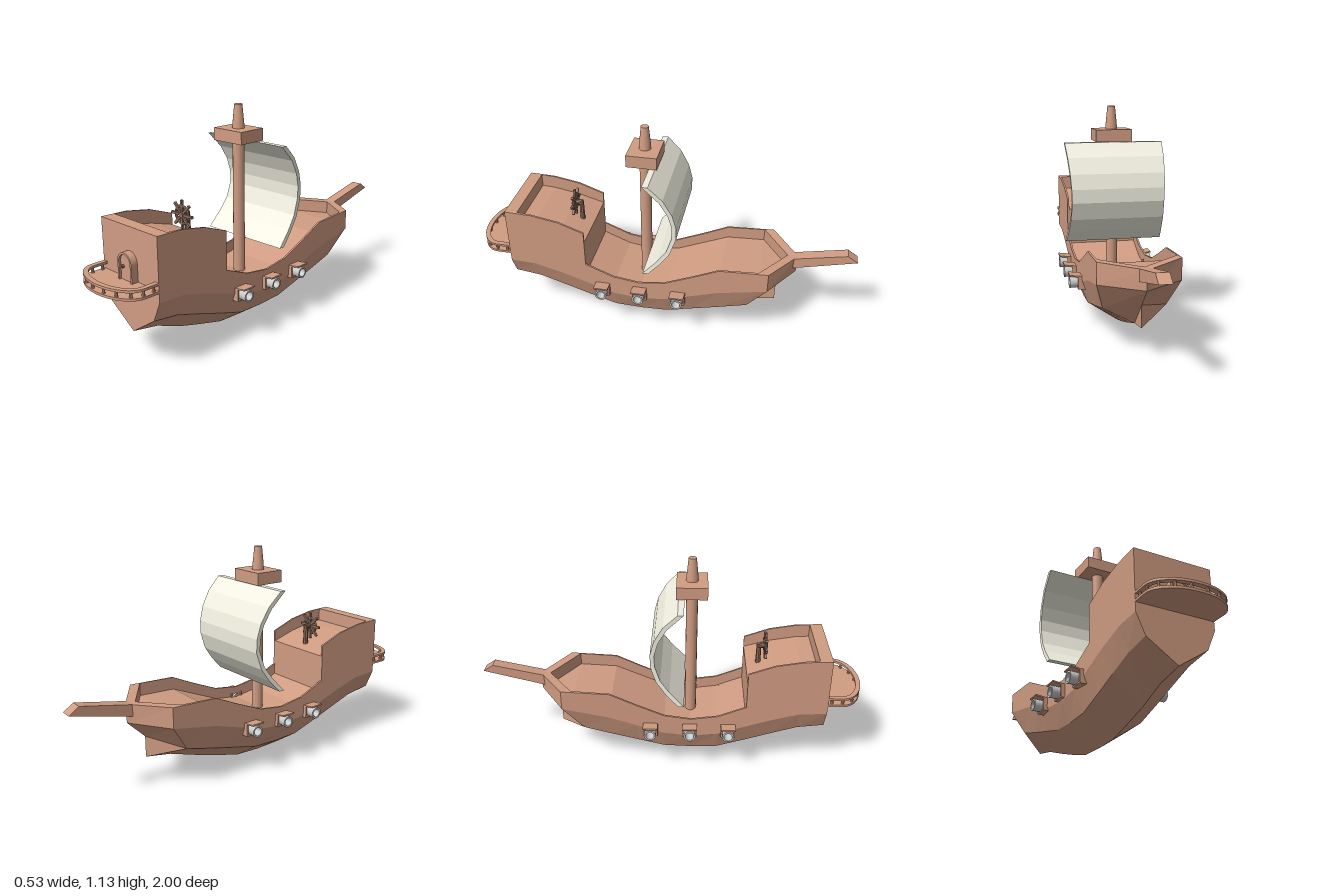
import * as THREE from 'three';

const material = (color, flatShading = true) => new THREE.MeshStandardMaterial({ color, flatShading });
const wood = material(0xd09c82);
const smoothWood = material(0xd09c82, false);
const darkWood = material(0x8f6e5c);
const cloth = material(0xf1efe0);
const metal = material(0xcccccc, false);

function add(parent, name, geometry, mat, x = 0, y = 0, z = 0) {
  const mesh = new THREE.Mesh(geometry, mat);
  mesh.name = name;
  mesh.position.set(x, y, z);
  parent.add(mesh);
  return mesh;
}

// Joins mirror-symmetric rings of points into a closed solid
function loft(rings) {
  const pos = [];
  const quad = (a, b, c, d) => pos.push(...a, ...b, ...c, ...a, ...c, ...d);
  const n = rings[0].length;
  for (let s = 0; s < rings.length - 1; s++) {
    for (let i = 0; i < n; i++) {
      const j = (i + 1) % n;
      quad(rings[s][i], rings[s + 1][i], rings[s + 1][j], rings[s][j]);
    }
  }
  const first = rings[0], last = rings[rings.length - 1];
  for (let k = 0; k < n / 2 - 1; k++) {
    quad(first[k], first[k + 1], first[n - 2 - k], first[n - 1 - k]);
    quad(last[n - 1 - k], last[n - 2 - k], last[k + 1], last[k]);
  }
  const geometry = new THREE.BufferGeometry();
  geometry.setAttribute('position', new THREE.Float32BufferAttribute(pos, 3));
  geometry.computeVertexNormals();
  return geometry;
}

const mirrored = (half) => [...half, ...half.map(([x, y, z]) => [-x, y, z]).reverse()];

function hullGeometry() {
  // z, keel, chine, knuckle, rail, deck heights from stern to bow
  const stations = [
    [0.81, 0.165, 0.268, 0.37, 0.68, 0.61],
    [0.67, 0.14, 0.25, 0.363, 0.675, 0.605],
    [0.53, 0.085, 0.205, 0.325, 0.65, 0.58],
    [0.395, 0.047, 0.16, 0.28, 0.6, 0.54],
    [0.395, 0.047, 0.16, 0.28, 0.4, 0.34],
    [0.25, 0.01, 0.115, 0.23, 0.34, 0.28],
    [0.11, 0.005, 0.11, 0.215, 0.32, 0.26],
    [-0.03, 0.01, 0.115, 0.23, 0.34, 0.28],
    [-0.17, 0.047, 0.15, 0.275, 0.4, 0.34],
    [-0.31, 0.09, 0.185, 0.32, 0.465, 0.4],
  ];
  const rings = stations.map(([z, keel, chine, knuckle, rail, deck], i) => {
    const inner = i === 0 ? 0.745 : z;
    return mirrored([[0, keel, z], [0.155, chine, z], [0.2, knuckle, z],
      [0.2, rail, z], [0.19, rail, inner], [0.19, deck, inner]]);
  });
  // Bow shoulder and stem
  rings.push(mirrored([[0, 0.14, -0.46], [0.155, 0.225, -0.46], [0.2, 0.37, -0.56],
    [0.2, 0.477, -0.56], [0.19, 0.477, -0.51], [0.19, 0.41, -0.51]]));
  rings.push(mirrored([[0, 0.165, -0.6], [0, 0.275, -0.6], [0, 0.37, -0.695],
    [0, 0.467, -0.7], [0, 0.467, -0.645], [0, 0.4, -0.645]]));
  return loft(rings);
}

function sailGeometry() {
  // half width, y, z down the billow
  const rows = [[0.258, 0.955, 0.04], [0.252, 0.885, -0.03], [0.246, 0.805, -0.075], [0.242, 0.73, -0.095],
    [0.24, 0.66, -0.095], [0.243, 0.57, -0.065], [0.248, 0.5, -0.015], [0.255, 0.435, 0.045]];
  return loft(rows.map(([w, y, z], i) => {
    const a = rows[Math.max(i - 1, 0)], b = rows[Math.min(i + 1, rows.length - 1)];
    const dy = a[1] - b[1], dz = a[2] - b[2], len = Math.hypot(dy, dz);
    const end = i === 0 || i === rows.length - 1;
    const iy = end ? y : y - (dz / len) * 0.022;
    const iz = z + (end ? 0.03 : (dy / len) * 0.022);
    return mirrored([[w, iy, iz], [w, y, z]]);
  }));
}

// Rounded outline of the stern balcony; shape y is distance behind the transom
function balconyOutline(inset) {
  const pts = [new THREE.Vector2(0.2 - inset, 0)];
  for (let i = 0; i <= 16; i++) {
    const a = (i / 16) * Math.PI;
    pts.push(new THREE.Vector2(Math.cos(a) * (0.2 - inset), 0.075 + Math.sin(a) * (0.115 - inset)));
  }
  pts.push(new THREE.Vector2(inset - 0.2, 0));
  return pts;
}

function balcony() {
  const g = new THREE.Group();
  g.name = 'sternBalcony';
  const floor = new THREE.ExtrudeGeometry(new THREE.Shape(balconyOutline(0)), { depth: 0.012, bevelEnabled: false });
  add(g, 'balconyFloor', floor.rotateX(Math.PI / 2), wood, 0, 0.427, 0.81);
  const band = new THREE.Shape([...balconyOutline(0), ...balconyOutline(0.025).reverse()]);
  const rail = new THREE.ExtrudeGeometry(band, { depth: 0.012, bevelEnabled: false });
  add(g, 'balconyRail', rail.rotateX(Math.PI / 2), wood, 0, 0.465, 0.81);
  const post = new THREE.CylinderGeometry(0.006, 0.008, 0.028, 8);
  const spots = [[0.187, 0.83], [0.187, 0.885], [0.165, 0.935], [0.11, 0.97], [0.04, 0.986]];
  for (const side of [1, -1]) {
    for (const [x, z] of spots) add(g, 'balconyPost', post, wood, side * x, 0.44, z);
  }
  return g;
}

function archShape(w, h) {
  const s = new THREE.Shape();
  s.moveTo(-w, 0).lineTo(w, 0).lineTo(w, h - w);
  s.absarc(0, h - w, w, 0, Math.PI, false);
  s.lineTo(-w, 0);
  return s;
}

function door() {
  const g = new THREE.Group();
  g.name = 'door';
  const frame = archShape(0.05, 0.14);
  frame.holes.push(archShape(0.04, 0.13));
  add(g, 'doorFrame', new THREE.ExtrudeGeometry(frame, { depth: 0.035, bevelEnabled: false, curveSegments: 10 }), wood);
  add(g, 'doorPanel', new THREE.ExtrudeGeometry(archShape(0.04, 0.13), { depth: 0.024, bevelEnabled: false, curveSegments: 10 }), wood);
  add(g, 'doorKnob', new THREE.SphereGeometry(0.009, 8, 6), darkWood, -0.021, 0.067, 0.028);
  g.position.set(0.005, 0.425, 0.81);
  return g;
}

function cannon(side, z) {
  const g = new THREE.Group();
  g.name = 'cannonPort';
  // Port frame with a propped lid
  for (const s of [1, -1]) add(g, 'portSide', new THREE.BoxGeometry(0.04, 0.065, 0.008), wood, 0.2, 0.255, s * 0.034);
  add(g, 'portSill', new THREE.BoxGeometry(0.04, 0.008, 0.076), wood, 0.2, 0.225, 0);
  add(g, 'portLid', new THREE.BoxGeometry(0.068, 0.007, 0.076), wood, 0.23, 0.291, 0).rotation.z = 0.13;
  const profile = [[0.028, 0], [0.031, 0.085], [0.031, 0.085], [0.022, 0.085], [0.022, 0.085], [0.02, 0.03], [0, 0.03]];
  const barrel = new THREE.LatheGeometry(profile.map((p) => new THREE.Vector2(...p)), 16);
  add(g, 'cannonBarrel', barrel.rotateZ(-Math.PI / 2), metal, 0.177, 0.254, 0);
  g.position.z = z;
  if (side < 0) g.rotation.y = Math.PI;
  return g;
}

function steeringWheel() {
  const g = new THREE.Group();
  g.name = 'steeringWheel';
  add(g, 'wheelRim', new THREE.TorusGeometry(0.044, 0.007, 6, 16), darkWood);
  add(g, 'wheelHub', new THREE.CylinderGeometry(0.014, 0.014, 0.05, 10).rotateX(Math.PI / 2), darkWood, 0, 0, -0.014);
  for (let i = 0; i < 4; i++) {
    add(g, 'wheelSpoke', new THREE.BoxGeometry(0.012, 0.146, 0.012), darkWood).rotation.z = (i * Math.PI) / 4;
  }
  add(g, 'wheelPost', new THREE.CylinderGeometry(0.012, 0.014, 0.115, 8), darkWood, 0, -0.047, -0.034);
  g.position.set(0, 0.657, 0.492);
  return g;
}

export function createModel() {
  const ship = new THREE.Group();
  ship.name = 'sailingShip';
  add(ship, 'hull', hullGeometry(), wood);

  // Bowsprit, drawn in side profile with distance forward and height
  const spar = new THREE.Shape([[0.66, 0.405], [0.997, 0.49], [0.945, 0.525], [0.66, 0.465]].map((p) => new THREE.Vector2(...p)));
  const bowsprit = new THREE.ExtrudeGeometry(spar, { depth: 0.06, bevelEnabled: false });
  add(ship, 'bowsprit', bowsprit.rotateY(Math.PI / 2), wood, -0.03);

  // Mast, lookout and sail
  add(ship, 'mast', new THREE.CylinderGeometry(0.03, 0.03, 0.72, 14), smoothWood, 0, 0.61, 0.107);
  add(ship, 'lookout', new THREE.BoxGeometry(0.19, 0.063, 0.156), wood, 0, 0.989, 0.107);
  const tip = [[0.031, 0], [0.029, 0.03], [0.02, 0.12], [0.02, 0.12], [0, 0.12]].map((p) => new THREE.Vector2(...p));
  add(ship, 'mastTip', new THREE.LatheGeometry(tip, 14), smoothWood, 0, 1.02, 0.107);
  add(ship, 'sail', sailGeometry(), cloth);

  for (const side of [1, -1]) {
    for (const z of [0.305, 0.105, -0.1]) ship.add(cannon(side, z));
  }
  ship.add(balcony(), door(), steeringWheel());
  return ship;
}
